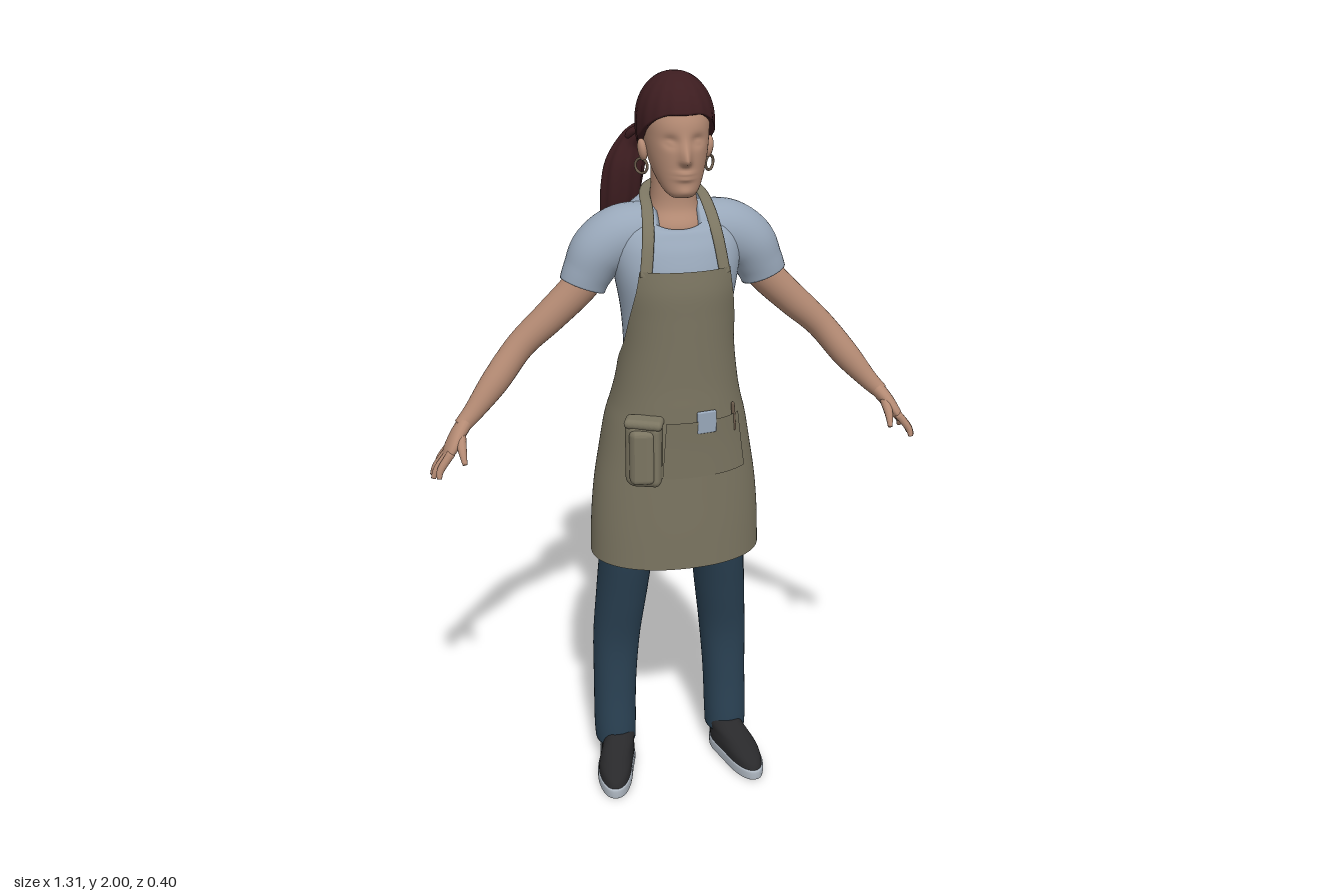
import * as THREE from 'three';
import { RoundedBoxGeometry } from 'three/addons/geometries/RoundedBoxGeometry.js';

const V = (x, y, z) => new THREE.Vector3(x, y, z);
const paint = (name, color, side = THREE.FrontSide) => {
  const m = new THREE.MeshStandardMaterial({ color, side });
  m.name = name;
  return m;
};

// Catmull-Rom through rows of numbers, giving n + 1 rows
function spline(keys, n) {
  const last = keys.length - 1, at = (i) => keys[Math.min(last, Math.max(0, i))];
  return Array.from({ length: n + 1 }, (_, k) => {
    const f = (k / n) * last, i = Math.min(last - 1, Math.floor(f)), t = f - i;
    return keys[0].map((_, c) => {
      const [a, b, d, e] = [at(i - 1)[c], at(i)[c], at(i + 1)[c], at(i + 2)[c]];
      return b + 0.5 * t * (d - a + t * (2 * a - 5 * b + 4 * d - e + t * (3 * (b - d) + e - a)));
    });
  });
}

// Skin over rows of points; closed rows wrap round, and may be capped
function skinRows(rows, closed = true, caps = closed) {
  const n = rows[0].length, pts = rows.flat(), idx = [], m = closed ? n : n - 1;
  for (let r = 0; r < rows.length - 1; r++) for (let i = 0; i < m; i++) {
    const a = r * n + i, b = r * n + (i + 1) % n;
    idx.push(a, b, a + n, b, b + n, a + n);
  }
  if (caps) [0, rows.length - 1].forEach((r) => {
    const c = pts.length;
    pts.push(rows[r].reduce((s, p) => s.add(p), V(0, 0, 0)).divideScalar(n));
    for (let i = 0; i < n; i++) {
      const a = r * n + i, b = r * n + (i + 1) % n;
      idx.push(c, ...(r ? [a, b] : [b, a]));
    }
  });
  const g = new THREE.BufferGeometry().setFromPoints(pts);
  g.setIndex(idx);
  g.computeVertexNormals();
  return g;
}

// Point on a horizontal body section; phi = 0 faces the front
const pw = (v) => Math.sign(v) * Math.abs(v) ** 0.92;
function section([y, cx, rx, zf, zb, tilt], phi) {
  const half = (zf - zb) / 2, dz = half * pw(Math.cos(phi));
  return V(cx + rx * pw(Math.sin(phi)), y - (tilt || 0) * dz, (zf + zb) / 2 + dz);
}
// keys: [y, centreX, halfWidth, zFront, zBack, tilt]
const loft = (keys, n = 32, seg = 40, caps = true) => skinRows(spline(keys, n).map((k) =>
  Array.from({ length: seg }, (_, i) => section(k, (i / seg) * Math.PI * 2))), true, caps);
// Open wrap round the body, keys: [y, halfWidth, zFront, zBack, fromDegrees, toDegrees]
const wrap = (keys, n = 36, seg = 56) => skinRows(spline(keys, n).map(([y, rx, zf, zb, a, b]) =>
  Array.from({ length: seg + 1 }, (_, i) =>
    section([y, 0, rx, zf, zb, 0], (a + (b - a) * i / seg) * Math.PI / 180))), false);
// Limb or ribbon along a path, keys: [x, y, z, halfWidth, halfThickness]
function sweep(keys, ref = V(0, 0, 1), n = 20, seg = 16, ridge = 0) {
  const ks = spline(keys.map((k) => [k[0], k[1], k[2], k[3], k[4] ?? k[3]]), n);
  const p = ks.map((k) => V(k[0], k[1], k[2]));
  return skinRows(ks.map((k, r) => {
    const t = p[Math.min(n, r + 1)].clone().sub(p[Math.max(0, r - 1)]).normalize();
    const u = ref.clone().cross(t).normalize(), w = t.clone().cross(u);
    return Array.from({ length: seg }, (_, i) => {
      const a = (i / seg) * Math.PI * 2, f = 1 + ridge * Math.sin(a * 8 + r * 0.15);
      return p[r].clone().addScaledVector(u, k[3] * f * Math.cos(a)).addScaledVector(w, k[4] * f * Math.sin(a));
    });
  }));
}
function move(g, fn) {
  const p = g.attributes.position;
  for (let i = 0; i < p.count; i++) {
    const v = V().fromBufferAttribute(p, i);
    fn(v);
    p.setXYZ(i, v.x, v.y, v.z);
  }
  g.computeVertexNormals();
  return g;
}

export function createModel() {
  const model = new THREE.Group();
  const skin = paint('skin', 0xb58b74), hair = paint('hair', 0x3d1d20, THREE.DoubleSide);
  const shirt = paint('shirt', 0x98a7b9, THREE.DoubleSide), canvas = paint('apron canvas', 0x7b7561, THREE.DoubleSide);
  const denim = paint('denim', 0x2a4153), shoe = paint('shoe', 0x29292b);
  const sole = paint('sole', 0xaeb7c1), metal = paint('metal', 0x6d5d4d);
  const add = (name, geometry, material) => {
    const m = new THREE.Mesh(geometry, material);
    m.name = name;
    model.add(m);
    return m;
  };

  // Head, with nose, lips, eye sockets and chin pushed out of the face
  const g = (v, c, w) => Math.exp(-(((v - c) / w) ** 2));
  add('head', move(loft([
    [1.715, 0, 0.028, 0.112, 0.06], [1.73, 0, 0.044, 0.119, 0.02], [1.765, 0, 0.061, 0.122, -0.04],
    [1.81, 0, 0.073, 0.124, -0.08], [1.855, 0, 0.079, 0.123, -0.1], [1.9, 0, 0.08, 0.116, -0.1],
    [1.945, 0, 0.068, 0.09, -0.085], [1.98, 0, 0.03, 0.04, -0.04]], 64, 80), (v) => {
    if (v.z < 0.05) return;
    const ax = Math.abs(v.x);
    v.z += 0.029 * g(v.x, 0, 0.012) * g(v.y, 1.808, v.y > 1.808 ? 0.036 : 0.011)
      + 0.007 * g(v.x, 0, 0.022) * (g(v.y, 1.776, 0.006) + g(v.y, 1.763, 0.006))
      - 0.011 * g(ax, 0.033, 0.017) * g(v.y, 1.852, 0.014) + 0.005 * g(ax, 0.034, 0.009) * g(v.y, 1.849, 0.006)
      + 0.005 * g(v.x, 0, 0.02) * g(v.y, 1.73, 0.012);
  }), skin);
  add('neck', loft([[1.57, 0, 0.085, 0.06, -0.085], [1.625, 0, 0.08, 0.066, -0.083],
    [1.67, 0, 0.062, 0.046, -0.078], [1.72, 0, 0.056, 0.044, -0.074], [1.79, 0, 0.056, 0.05, -0.075]]), skin);

  // Swept-back hair with a hairline falling from forehead to nape
  const hairRows = [];
  for (let r = -1; r <= 28; r++) hairRows.push(Array.from({ length: 96 }, (_, i) => {
    const phi = (i / 96) * Math.PI * 2, a = Math.abs(Math.PI - phi) / Math.PI;
    const edge = 1.915 - 0.147 * THREE.MathUtils.smoothstep(1 - a, 0.1, 0.85);
    const theta = Math.acos((edge - 1.88) / 0.12) * (1 - Math.max(r, 0) / 28.6), c = Math.cos(theta);
    const p = c < 0 ? 2.5 : 2.1, ridge = 1 + 0.012 * Math.sin(phi * 16) * Math.sin(theta);
    const f = (1 - Math.abs(c) ** p) ** (1 / p) * ridge * (r < 0 ? 0.84 : 1);
    return V(0.096 * f * Math.sin(phi), 1.88 + 0.12 * c, 0.002 + 0.125 * f * Math.cos(phi));
  }));
  add('hair', skinRows(hairRows, true, false), hair);
  add('hairCrown', new THREE.SphereGeometry(0.02, 16, 8).scale(1, 0.25, 1).translate(0, 1.9945, 0), hair);
  add('ponytail', sweep([[-0.04, 1.84, -0.095, 0.03], [-0.075, 1.805, -0.13, 0.036], [-0.1, 1.74, -0.14, 0.05],
    [-0.113, 1.66, -0.148, 0.05], [-0.122, 1.59, -0.158, 0.038], [-0.127, 1.545, -0.16, 0.016]],
  V(0, 0.3, 1), 36, 48, 0.05), hair);
  [[-0.15, -0.15], [-0.13, -0.175], [-0.1, -0.165], [-0.125, -0.135]].forEach(([x, z]) =>
    add('ponytailLock', sweep([[(x - 0.12) / 2, 1.62, (z - 0.155) / 2, 0.016], [x, 1.57, z, 0.013],
      [x, 1.525, z + 0.003, 0.002]], V(0, 0, 1), 10, 8), hair));
  add('hairTie', new THREE.TorusGeometry(0.032, 0.01, 10, 24).rotateX(0.7).translate(-0.062, 1.82, -0.116), hair);

  // Shirt body and jeans seat
  add('shirtBody', loft([[1.15, 0, 0.162, 0.12, -0.132, 0], [1.22, 0, 0.147, 0.115, -0.1, 0],
    [1.3, 0, 0.137, 0.118, -0.087, 0], [1.41, 0, 0.143, 0.138, -0.1, 0], [1.5, 0, 0.158, 0.143, -0.111, 0],
    [1.57, 0, 0.168, 0.122, -0.112, 0], [1.62, 0, 0.16, 0.1, -0.108, 0.12], [1.65, 0, 0.125, 0.088, -0.1, 0.28],
    [1.668, 0, 0.082, 0.076, -0.09, 0.5]], 56, 56, false), shirt);
  add('jeansSeat', loft([[0.9, 0, 0.1, 0.05, -0.07], [0.97, 0, 0.168, 0.1, -0.13], [1.04, 0, 0.18, 0.112, -0.152],
    [1.1, 0, 0.174, 0.115, -0.147], [1.17, 0, 0.152, 0.11, -0.118]]), denim);

  for (const s of [1, -1]) {
    // Head side details
    add('ear', new THREE.SphereGeometry(1, 16, 12).scale(0.012, 0.028, 0.018).rotateZ(-0.15 * s)
      .translate(0.083 * s, 1.815, 0.012), skin);
    add('earring', new THREE.TorusGeometry(0.018, 0.0035, 8, 28).rotateY(0.8 * s).translate(0.086 * s, 1.775, 0.012), metal);

    // Sleeve, arm and hand
    const limb = (name, keys, material, ref = V(0, 0, 1), ...rest) =>
      add(name, sweep(keys.map(([x, ...k]) => [x * s, ...k]), V(ref.x * s, ref.y, ref.z), ...rest), material);
    limb('sleeve', [[0.05, 1.6, -0.015, 0.076], [0.13, 1.595, -0.013, 0.08], [0.19, 1.56, -0.01, 0.075],
      [0.222, 1.51, -0.008, 0.064], [0.237, 1.475, -0.006, 0.06, 0.056]], shirt, undefined, 24, 32);
    limb('arm', [[0.19, 1.55, -0.01, 0.05], [0.24, 1.475, -0.01, 0.046], [0.32, 1.395, -0.015, 0.042],
      [0.4, 1.32, -0.018, 0.037, 0.039], [0.47, 1.235, 0, 0.036], [0.53, 1.165, 0.018, 0.026, 0.027],
      [0.565, 1.13, 0.028, 0.021, 0.023]], skin, undefined, 36, 24);
    const palmUp = V(0.75, 0.6, 0);
    limb('palm', [[0.55, 1.145, 0.024, 0.022, 0.02], [0.575, 1.115, 0.04, 0.032, 0.019],
      [0.597, 1.083, 0.055, 0.039, 0.016], [0.612, 1.06, 0.06, 0.034, 0.01]], skin, palmUp);
    [[0.63, 1.022, 0.018], [0.648, 1.01, 0.045], [0.647, 1.012, 0.075], [0.633, 1.02, 0.102]].forEach(([x, y, z], i) => {
      const z0 = 0.032 + 0.018 * i;
      limb('finger', [[0.598, 1.082, z0, 0.011], [(0.612 + x) / 2 + 0.005, (1.065 + y) / 2, (z0 + z) / 2, 0.0095],
        [x, y, z, 0.006]], skin, palmUp, 10, 10);
    });
    limb('thumb', [[0.57, 1.115, 0.055, 0.014], [0.57, 1.088, 0.092, 0.011], [0.567, 1.06, 0.116, 0.006]], skin, V(1, 0.3, 0), 10, 10);

    // Trouser leg and shoe
    const side = (keys) => keys.map(([y, x, ...k]) => [y, x * s, ...k]);
    add('trouserLeg', loft(side([[0.065, 0.166, 0.058, 0.012, -0.122], [0.12, 0.166, 0.06, 0.01, -0.126],
      [0.25, 0.163, 0.061, 0.002, -0.134], [0.4, 0.156, 0.066, 0.005, -0.14], [0.55, 0.142, 0.07, 0.035, -0.14],
      [0.7, 0.128, 0.074, 0.068, -0.136], [0.85, 0.11, 0.087, 0.09, -0.132], [0.97, 0.095, 0.09, 0.1, -0.145],
      [1.06, 0.085, 0.085, 0.1, -0.14]]), 48), denim);
    const toeOut = (v) => { v.x += s * (0.13 * v.z - 0.012 * g(v.z, -0.02, 0.05)); };
    add('shoeSole', move(loft(side([[0, 0.181, 0.05, 0.166, -0.12], [0.004, 0.181, 0.053, 0.17, -0.125],
      [0.026, 0.181, 0.053, 0.17, -0.125], [0.03, 0.181, 0.05, 0.166, -0.122]]), 12), toeOut), sole);
    add('shoeUpper', move(loft(side([[0.028, 0.181, 0.05, 0.165, -0.12], [0.05, 0.18, 0.049, 0.15, -0.122],
      [0.068, 0.178, 0.046, 0.105, -0.12], [0.088, 0.175, 0.045, 0.045, -0.117], [0.105, 0.174, 0.043, 0.015, -0.112]]), 20), toeOut), shoe);

    // Apron neck strap and waist tie
    limb('neckStrap', [[0.1, 1.525, 0.13, 0.015, 0.004], [0.088, 1.61, 0.102, 0.015, 0.004], [0.078, 1.672, 0.045, 0.015, 0.004],
      [0.07, 1.7, -0.03, 0.014, 0.004], [0.04, 1.71, -0.08, 0.014, 0.004], [0, 1.71, -0.095, 0.014, 0.004]],
    canvas, V(0, 1, 0.6), 28, 10);
    limb('waistTie', [[0.125, 1.135, -0.117, 0.018, 0.004], [0.075, 1.14, -0.146, 0.014, 0.004],
      [0.015, 1.135, -0.158, 0.012, 0.004]], canvas);
    add('bowLoop', new THREE.TorusGeometry(0.03, 0.008, 8, 28).scale(1.3, 0.6, 1.8).rotateZ(-0.45 * s)
      .rotateY(0.35 * s).translate(0.018 + 0.042 * s, 1.115, -0.167), canvas);
  }

  // Apron with bib and open back
  add('apron', wrap([[0.715, 0.232, 0.155, -0.16, 132], [0.82, 0.228, 0.156, -0.16, 134], [0.92, 0.219, 0.156, -0.16, 136],
    [1.02, 0.203, 0.156, -0.158, 138], [1.11, 0.187, 0.156, -0.152, 140], [1.17, 0.171, 0.156, -0.135, 134],
    [1.235, 0.158, 0.155, -0.11, 112], [1.33, 0.147, 0.157, -0.095, 82], [1.41, 0.151, 0.159, -0.105, 63],
    [1.48, 0.163, 0.16, -0.115, 48], [1.54, 0.172, 0.153, -0.115, 40]]
    .map(([y, rx, zf, zb, a]) => [y, rx, zf, zb, -a, a]), 60, 72), canvas);
  add('bowKnot', new RoundedBoxGeometry(0.032, 0.03, 0.024, 3, 0.01).translate(0.018, 1.13, -0.163), canvas);
  [[0.06, 1.0, -0.2], [-0.025, 1.01, -0.178]].forEach(([x, y, z]) => add('bowTail', sweep([
    [0.018, 1.13, -0.163, 0.01, 0.004], [(x + 0.03) / 2, 1.075, z + 0.008, 0.015, 0.004], [x, y, z, 0.017, 0.004]]), canvas));

  // Front pocket and its contents
  add('pocket', wrap([[0.985, 0.212, 0.159, -0.16, -16, 50], [1.07, 0.197, 0.163, -0.155, -16, 50],
    [1.145, 0.184, 0.168, -0.15, -16, 50]], 10, 24), canvas);
  add('notepad', new RoundedBoxGeometry(0.052, 0.06, 0.01, 2, 0.004).rotateY(0.15).translate(0.05, 1.14, 0.159), shirt);
  add('pen', new THREE.CapsuleGeometry(0.005, 0.07, 4, 10).rotateZ(0.08).translate(0.13, 1.135, 0.124), metal);

  // Folded cloth hanging at the hip
  const cloth = (name, w, h, d, x, y, z) => add(name, move(new RoundedBoxGeometry(w, h, d, 5, d * 0.45)
    .rotateY(-0.35).translate(x, y, z), (v) => { v.z += 0.004 * Math.sin(v.x * 130); }), canvas);
  cloth('hangingCloth', 0.095, 0.18, 0.05, -0.112, 1.062, 0.148);
  cloth('hangingClothFold', 0.062, 0.15, 0.034, -0.122, 1.06, 0.168);
  cloth('hangingClothTop', 0.1, 0.026, 0.06, -0.11, 1.148, 0.146);
  return model;
}
